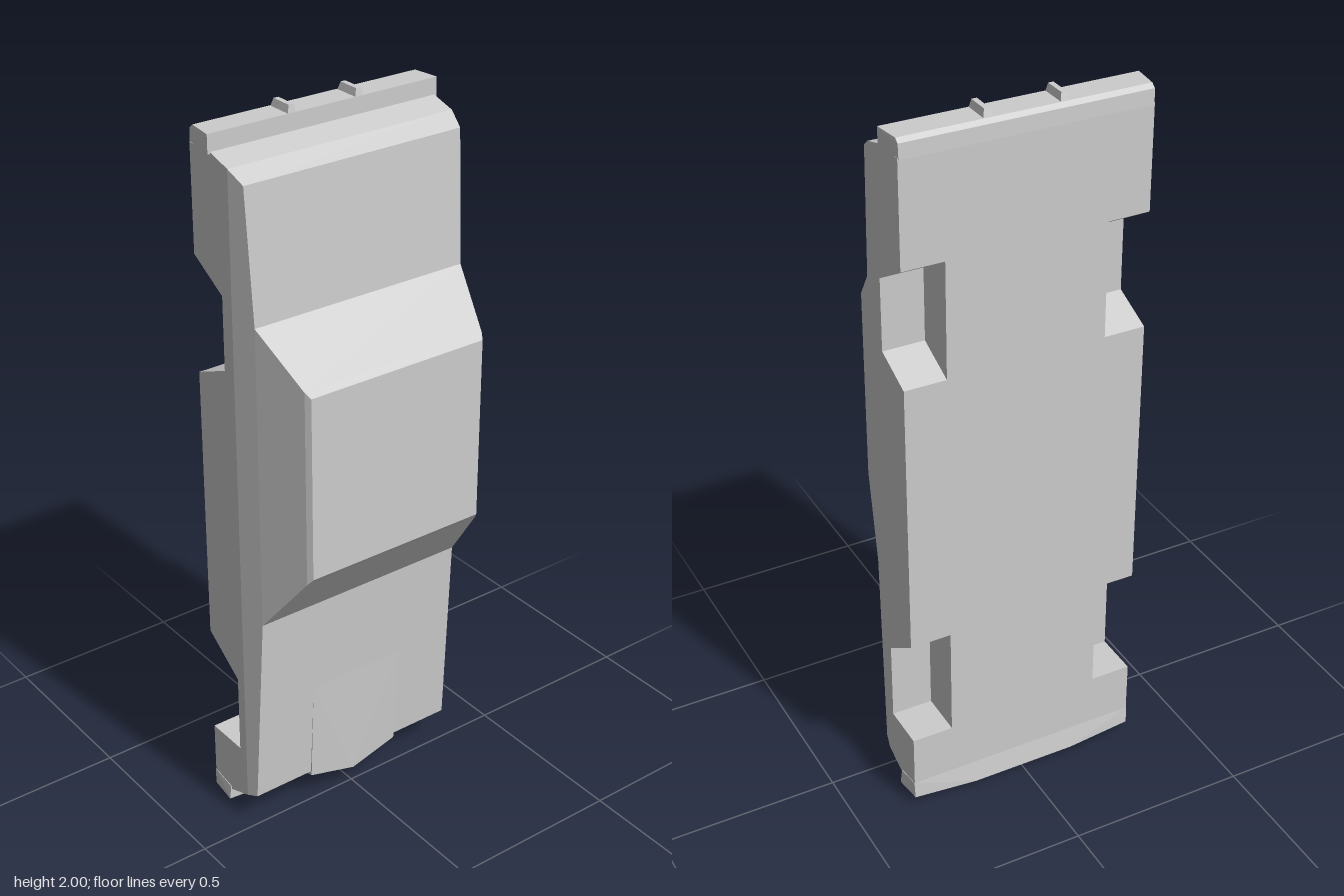
import * as THREE from 'three';
import { mergeGeometries } from 'three/addons/utils/BufferGeometryUtils.js';
import { ConvexGeometry } from 'three/addons/geometries/ConvexGeometry.js';

// A simple saloon car shell standing on its nose: y runs nose to tail, z is the car's height.
const FLOOR = -0.187, SIDE = 0.335, WELL_X = 0.22;

// Half width of the body at height z
const WIDTHS = [[-0.03, SIDE], [0.04, 0.318], [0.18, 0.275], [0.195, 0.266]];
function halfWidth(z) {
  if (z <= WIDTHS[0][0]) return SIDE;
  for (let i = 1; i < WIDTHS.length; i++) {
    const [z0, w0] = WIDTHS[i - 1], [z1, w1] = WIDTHS[i];
    if (z <= z1 + 1e-6) return w0 + (w1 - w0) * (z - z0) / (z1 - z0);
  }
  return WIDTHS[3][1];
}

// Flat-shaded band along a [z, y] profile, spanning x from left(z) to right(z)
function strip(profile, left, right) {
  const pos = [];
  for (let i = 0; i < profile.length - 1; i++) {
    const [z0, y0] = profile[i], [z1, y1] = profile[i + 1];
    const a = [left(z0), y0, z0], b = [right(z0), y0, z0];
    const c = [right(z1), y1, z1], d = [left(z1), y1, z1];
    pos.push(...a, ...b, ...c, ...a, ...c, ...d);
  }
  const g = new THREE.BufferGeometry();
  g.setAttribute('position', new THREE.Float32BufferAttribute(pos, 3));
  g.computeVertexNormals();
  return g;
}

// Side panel from a [z, y] outline, facing +x
function panel(outline, width) {
  const shape = new THREE.Shape(outline.map(([z, y]) => new THREE.Vector2(-z, y)));
  const g = new THREE.ShapeGeometry(shape).toNonIndexed();
  const p = g.attributes.position;
  for (let i = 0; i < p.count; i++) {
    const z = -p.getX(i);
    p.setXYZ(i, width(z), p.getY(i), z);
  }
  g.deleteAttribute('uv');
  g.computeVertexNormals();
  return g;
}

// Mirrored copy across x = 0 with the corner order reversed
function mirrored(g) {
  const m = g.clone(), p = m.attributes.position;
  for (let i = 0; i < p.count; i += 3) {
    const v = [0, 2, 1].map(k => [-p.getX(i + k), p.getY(i + k), p.getZ(i + k)]);
    v.forEach((q, k) => p.setXYZ(i + k, ...q));
  }
  m.computeVertexNormals();
  return m;
}

// Convex block; every point is given for +x and repeated on -x
function block(points, centre = 0) {
  return new ConvexGeometry(points.flatMap(([x, y, z]) =>
    [new THREE.Vector3(centre + x, y, z), new THREE.Vector3(centre - x, y, z)]));
}

export function createModel() {
  const car = new THREE.Group();
  car.name = 'car';
  const paint = new THREE.MeshStandardMaterial({ color: 0xcccccc });
  paint.name = 'grey paint';
  const add = (name, geometry) => {
    const mesh = new THREE.Mesh(geometry, paint);
    mesh.name = name;
    car.add(mesh);
  };

  // Nose, bonnet, windscreen, roof, rear window, boot and tail
  const top = [
    [FLOOR, 0.03], [-0.1, 0.06], [-0.03, 0.087], [0.005, 0.1],
    [0.04, 0.68], [0.18, 0.861], [0.195, 0.88], [0.195, 1.39], [0.18, 1.404], [0.04, 1.53],
    [0.017, 1.885], [-0.03, 1.915], [-0.1, 1.935], [FLOOR, 1.935],
  ];
  add('upperBody', strip(top, z => -halfWidth(z), halfWidth));

  // Wheel wells, cut into the floor and the sides
  const wells = [
    [[FLOOR, 0.23], [-0.06, 0.23], [-0.06, 0.46], [FLOOR, 0.55]],
    [[FLOOR, 1.33], [-0.07, 1.38], [-0.07, 1.58], [FLOOR, 1.65]],
  ];
  const wellParts = wells.flatMap(w => [
    strip([...w].reverse(), () => WELL_X, () => SIDE),
    panel(w, () => WELL_X),
  ].map(g => { g.deleteAttribute('uv'); return g; }));
  const wellGeometry = mergeGeometries(wellParts);
  add('leftWheelWells', wellGeometry);
  add('rightWheelWells', mirrored(wellGeometry));

  // Body sides in bands, leaning in towards the roof
  const sideParts = [
    [top[0], ...wells[0], ...wells[1], top[13], top[12], top[11], top[2], top[1]],
    [top[2], top[3], top[4], top[9], top[10], top[11]],
    [top[4], top[5], top[8], top[9]],
    [top[5], top[6], top[7], top[8]],
  ].map(outline => panel(outline, halfWidth));
  const sideGeometry = mergeGeometries(sideParts);
  add('leftSide', sideGeometry);
  add('rightSide', mirrored(sideGeometry));

  // Underside, notched at the wells
  const edge = [[SIDE, 0.03]];
  for (const w of wells) {
    const y0 = w[0][1], y1 = w[3][1];
    edge.push([SIDE, y0], [WELL_X, y0], [WELL_X, y1], [SIDE, y1]);
  }
  edge.push([SIDE, 1.935]);
  const outline = [...edge, ...edge.map(([x, y]) => [-x, y]).reverse()];
  const floor = new THREE.ShapeGeometry(new THREE.Shape(outline.map(([x, y]) => new THREE.Vector2(x, y))));
  floor.rotateY(Math.PI).translate(0, 0, FLOOR);
  add('underside', floor);

  // Pointed grille with its raised bonnet ridge
  add('grille', block([
    [0.145, 0.4, 0.023], [0.145, 0.4, -0.05], [0.145, 0.088, 0.008],
    [0, 0.05, 0.01], [0.145, 0.062, -0.11], [0, 0.045, -0.11],
  ]));

  // Bowed front bumper
  add('frontBumper', block([
    [0.342, 0.025, -0.11], [0.15, 0, -0.115], [0.337, 0.066, -0.11],
    [0.335, 0.03, -0.19], [0.15, 0.015, -0.195], [0.336, 0.08, -0.187],
  ]));

  // Rear bumper with two small overriders
  add('rearBumper', block([
    [0.342, 1.93, -0.1], [0.342, 1.98, -0.1], [0.333, 1.98, -0.175],
    [0.333, 1.93, -0.189], [0.333, 1.97, -0.187],
  ]));
  for (const [name, x] of [['leftOverrider', 0.1], ['rightOverrider', -0.1]]) {
    add(name, block([
      [0.013, 1.975, -0.1], [0.013, 1.975, -0.174],
      [0.007, 2, -0.104], [0.007, 2, -0.166],
    ], x));
  }
  return car;
}
